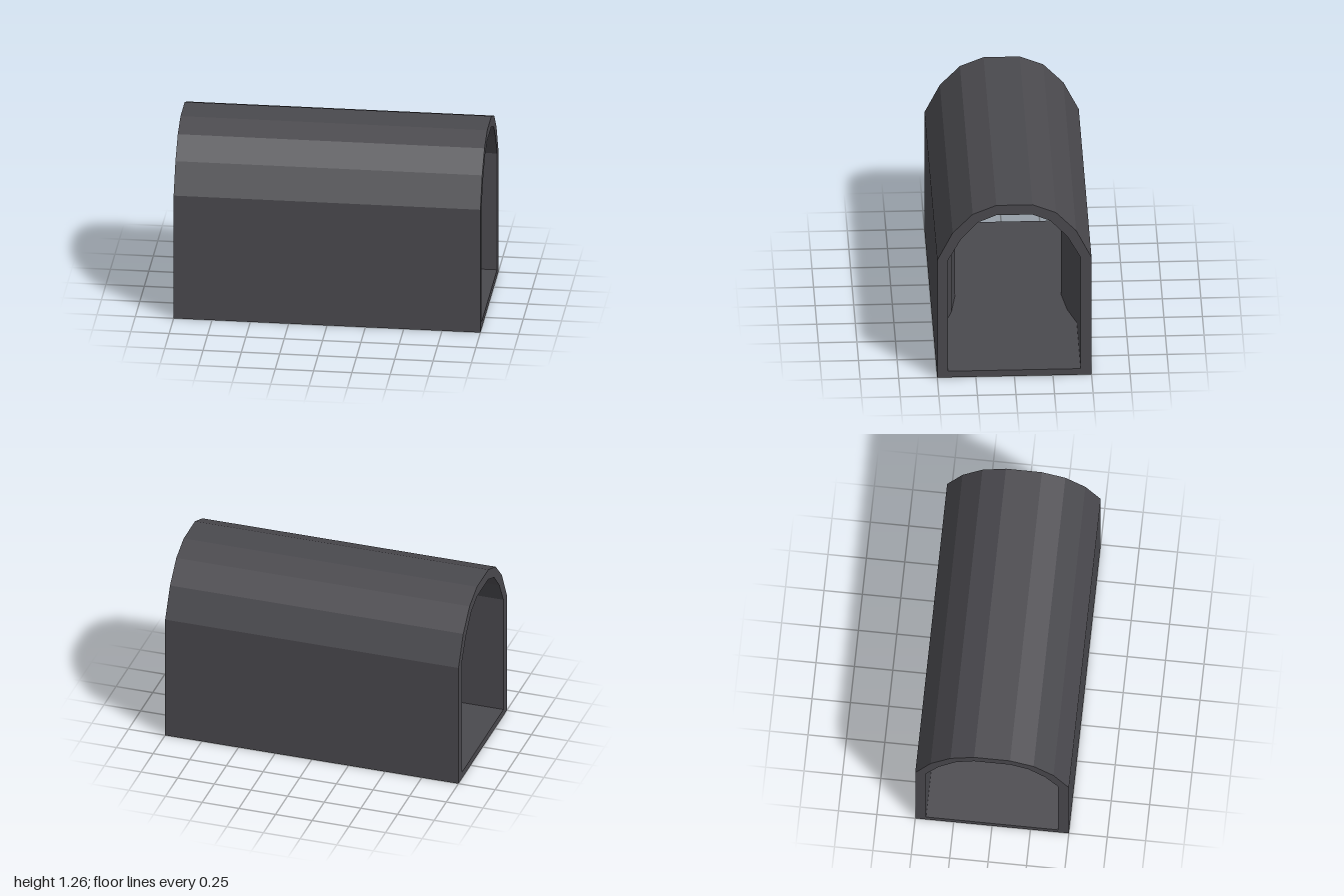
import * as THREE from 'three';

// Half profiles as [z, y], from the floor up to the crown
const OUTER = [[0.5, 0], [0.5, 0.865], [0.4, 1.065], [0.27, 1.2], [0.117, 1.262]];
const MOUTH = [[0.43, 0.045], [0.43, 0.865], [0.345, 1.02], [0.235, 1.14], [0.117, 1.19]];
const WAIST = [[0.345, 0.045], [0.345, 0.865], [0.285, 0.965], [0.205, 1.06], [0.117, 1.11]];

// Full closed ring at a given x, mirrored across z
function ring(half, x) {
  const mirrored = half.map(([z, y]) => [-z, y]).reverse();
  return [...half, ...mirrored].map(([z, y]) => new THREE.Vector3(x, y, z));
}

// Bore section, narrowing from the mouth (t = 0) to the waist (t = 1)
function bore(t) {
  return MOUTH.map(([z, y], i) => [
    THREE.MathUtils.lerp(z, WAIST[i][0], t),
    THREE.MathUtils.lerp(y, WAIST[i][1], t),
  ]);
}

// Flat-faced skin between consecutive rings
function loft(rings) {
  const points = [];
  for (let r = 0; r < rings.length - 1; r++) {
    const a = rings[r], b = rings[r + 1];
    for (let i = 0; i < a.length; i++) {
      const j = (i + 1) % a.length;
      points.push(a[i], a[j], b[i], a[j], b[j], b[i]);
    }
  }
  const geometry = new THREE.BufferGeometry().setFromPoints(points);
  geometry.computeVertexNormals();
  return geometry;
}

export function createModel() {
  const group = new THREE.Group();
  group.name = 'archedTunnel';

  const darkGrey = new THREE.MeshStandardMaterial({ color: 0x4a494e });
  darkGrey.name = 'darkGrey';

  const add = (name, rings) => {
    const mesh = new THREE.Mesh(loft(rings), darkGrey);
    mesh.name = name;
    group.add(mesh);
  };

  // Outer walls, arched roof and underside
  add('outerShell', [ring(OUTER, 1), ring(OUTER, -1)]);

  // Inner walls, vault and floor: straight from each mouth, then a bevelled rib in the middle
  const stations = [[-1, 0], [-0.38, 0], [-0.2, 0.65], [0, 1], [0.2, 0.65], [0.38, 0], [1, 0]];
  add('innerVault', stations.map(([x, t]) => ring(bore(t), x)));

  // Flat rims at both open ends
  add('leftRim', [ring(MOUTH, 1), ring(OUTER, 1)]);
  add('rightRim', [ring(OUTER, -1), ring(MOUTH, -1)]);

  return group;
}
